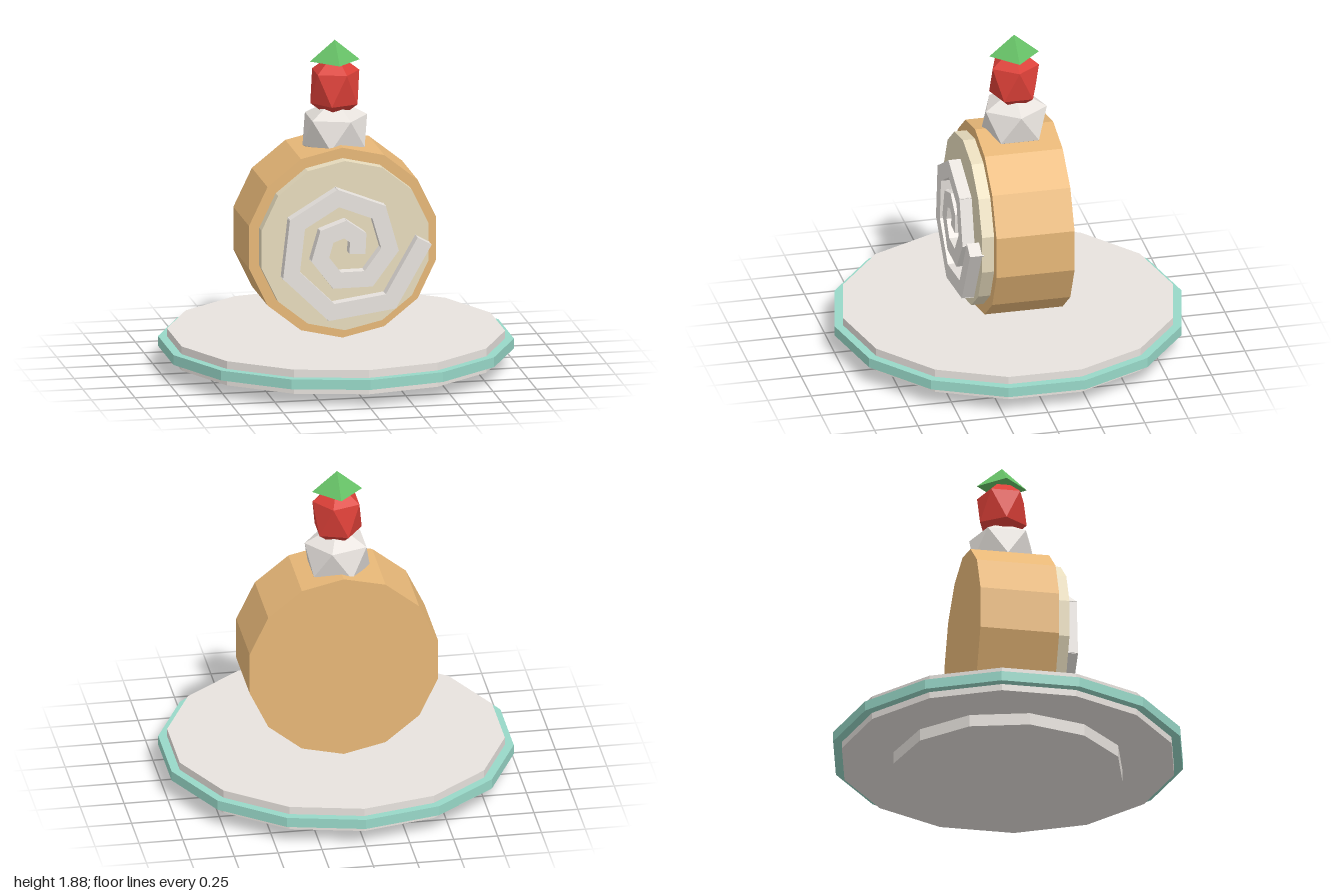
import * as THREE from 'three';

const material = (name, color) => {
  const m = new THREE.MeshStandardMaterial({ color, flatShading: true });
  m.name = name;
  return m;
};

export function createModel() {
  const group = new THREE.Group();
  const white = material('whippedWhite', 0xeee9e4);
  const teal = material('teal', 0x98d8c8);
  const sponge = material('sponge', 0xe8b878);
  const cream = material('cream', 0xf0e4c4);
  const red = material('berryRed', 0xdc4038);
  const green = material('leafGreen', 0x66c066);

  const add = (name, geometry, mat, x, y, z, parent = group) => {
    const mesh = new THREE.Mesh(geometry, mat);
    mesh.name = name;
    mesh.position.set(x, y, z);
    parent.add(mesh);
    return mesh;
  };

  // Upright disc between two heights
  const disc = (name, r, y0, y1, sides, mat) =>
    add(name, new THREE.CylinderGeometry(r, r, y1 - y0, sides), mat, 0, (y0 + y1) / 2, 0);

  // Disc facing the front, between two depths
  const facingDisc = (name, r, z0, z1, mat) =>
    add(name, new THREE.CylinderGeometry(r, r, z1 - z0, 14).rotateX(Math.PI / 2), mat,
      0, 0.76, (z0 + z1) / 2);

  // Twenty-sided ball standing on one corner, stretched upright
  const ball = (name, r, stretch, mat, y) => {
    const tilt = -Math.atan(2 / (1 + Math.sqrt(5)));
    const g = new THREE.IcosahedronGeometry(r, 0).rotateZ(tilt).scale(1, stretch, 1);
    return add(name, g, mat, 0, y, -0.035);
  };

  // Plate
  disc('plateFoot', 0.655, 0, 0.07, 12, white);
  disc('plate', 0.95, 0.07, 0.21, 14, white);
  disc('plateRim', 1, 0.108, 0.165, 14, teal);

  // Rolled cake
  facingDisc('spongeRoll', 0.55, -0.26, 0.19, sponge);
  facingDisc('creamFace', 0.49, 0.15, 0.26, cream);

  // Spiral of straight bars
  const spiral = new THREE.Group();
  spiral.name = 'creamSpiral';
  spiral.position.set(0, 0.76, 0);
  group.add(spiral);
  const points = [];
  for (let i = 0; i <= 14; i++) {
    const a = -THREE.MathUtils.degToRad(52 * i);
    const r = 0.43 - 0.0265 * i;
    points.push(new THREE.Vector2(r * Math.cos(a), r * Math.sin(a)));
  }
  for (let i = 0; i < 14; i++) {
    const d = points[i + 1].clone().sub(points[i]);
    const mid = points[i].clone().add(points[i + 1]).multiplyScalar(0.5);
    const bar = add('spiralBar', new THREE.BoxGeometry(d.length() + 0.05, 0.092, 0.08), white,
      mid.x, mid.y, 0.29, spiral);
    bar.rotation.z = Math.atan2(d.y, d.x);
  }

  // Topping
  ball('whippedCream', 0.207, 0.88, white, 1.36);
  ball('berry', 0.157, 1.28, red, 1.61);
  add('berryLeaf', new THREE.ConeGeometry(0.143, 0.12, 4), green, 0, 1.82, -0.035);

  return group;
}
